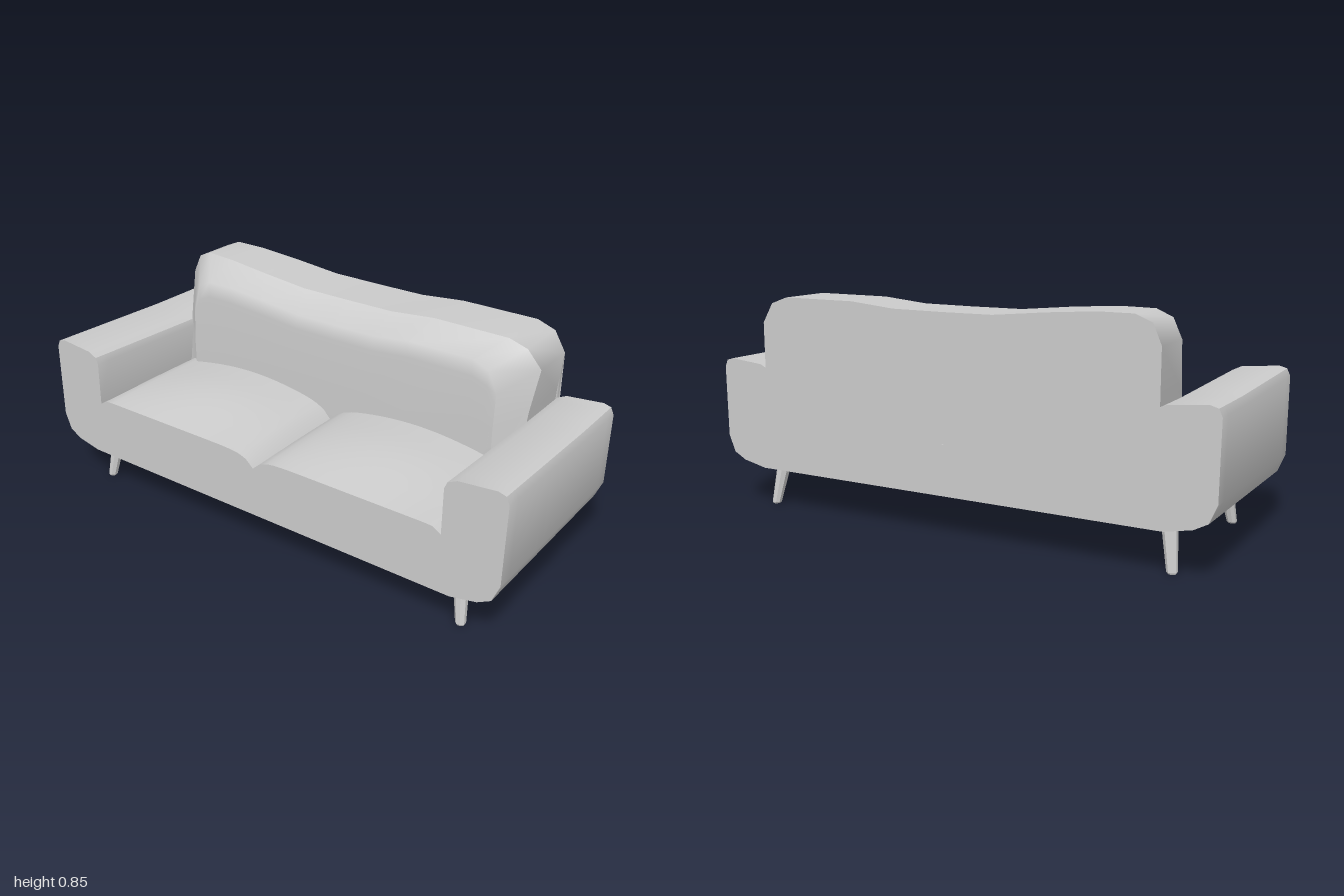
import * as THREE from 'three';
import { toCreasedNormals } from 'three/addons/utils/BufferGeometryUtils.js';

const grey = new THREE.MeshStandardMaterial({ color: 0xcccccc });
const greyFlat = new THREE.MeshStandardMaterial({ color: 0xcccccc, flatShading: true });

function part(name, geometry, material = grey) {
  const mesh = new THREE.Mesh(geometry, material);
  mesh.name = name;
  return mesh;
}

// Skin a list of equally long rows of [x, y, z] points
function loft(rows) {
  const n = rows[0].length, index = [];
  for (let j = 0; j < rows.length - 1; j++) {
    for (let i = 0; i < n - 1; i++) {
      const a = j * n + i, b = a + n;
      index.push(a, b, a + 1, b, b + 1, a + 1);
    }
  }
  const g = new THREE.BufferGeometry();
  g.setAttribute('position', new THREE.Float32BufferAttribute(rows.flat(2), 3));
  g.setIndex(index);
  g.computeVertexNormals();
  return g;
}

// Front edge of the seat: two cushions meeting in a notch at the middle
function seatEdge(x) {
  const a = Math.abs(x);
  return 0.392 - 0.047 * Math.exp(-a / 0.035) - 0.02 * Math.max(0, (a - 0.74) / 0.035);
}

// Arms, base and seat: one profile run from back to front
function createBody() {
  const rightArm = [[0.775, 0.54], [0.785, 0.565], [0.82, 0.582], [0.96, 0.595], [0.988, 0.587],
    [1, 0.56], [0.997, 0.27], [0.97, 0.205], [0.92, 0.178], [0.82, 0.157]];
  const leftArm = rightArm.map(([x, y]) => [-x, y]).reverse();
  const seat = [];
  for (let i = 0; i <= 48; i++) {
    const x = 0.775 * (i / 24 - 1);
    seat.push([x, seatEdge(x)]);
  }
  const outline = [...leftArm, ...seat, ...rightArm].map(([x, y]) => new THREE.Vector2(x, y));
  const g = new THREE.ExtrudeGeometry(new THREE.Shape(outline), { depth: 0.775, steps: 14, bevelEnabled: false });
  g.translate(0, 0, -0.389);

  const p = g.attributes.position;
  for (let i = 0; i < p.count; i++) {
    const x = p.getX(i), z = p.getZ(i);
    let y = p.getY(i);
    const front = (z + 0.389) / 0.775;
    if (Math.abs(x) < 0.77 && y > 0.3 && y < 0.45) {
      // plump cushions
      const s = Math.min(1, (1 - front) / 0.45);
      y += 0.05 * Math.sin(Math.PI * Math.abs(x) / 0.775) * Math.sin(s * Math.PI / 2);
    } else if (y > 0.5) {
      // arms drop a little towards the back
      y -= 0.014 * Math.min(1, (1 - front) / 0.7);
    } else if (y < 0.3) {
      y += 0.007 * (0.4 - front);
    }
    p.setY(i, y);
    if (front > 0.99) p.setZ(i, z + 0.007 * (0.6 - y) / 0.45);
  }
  return toCreasedNormals(g, 0.62);
}

// Backrest: [x, y, z of the ridge] from lower left over the top to lower right
const ridge = [[-0.78, 0.35, -0.13], [-0.79, 0.58, -0.17], [-0.8, 0.75, -0.21], [-0.77, 0.82, -0.215],
  [-0.71, 0.845, -0.21], [-0.58, 0.845, -0.195], [-0.4, 0.832, -0.18], [-0.2, 0.813, -0.178],
  [0, 0.812, -0.178], [0.2, 0.813, -0.178], [0.38, 0.83, -0.178], [0.68, 0.83, -0.175],
  [0.75, 0.805, -0.18], [0.795, 0.73, -0.205], [0.78, 0.58, -0.17], [0.77, 0.35, -0.13]];

function createBackrest() {
  const group = new THREE.Group();
  group.name = 'backrest';
  const rear = ridge.map(([x, y]) => [x, y, -0.39]);
  const rearFoot = ridge.map(([x]) => [x, 0.35, -0.39]);
  // Front rows: padded rim, then the leaning face down to the seat
  const face = (t) => ridge.map(([x, y]) => {
    const top = Math.max(0.35, y - 0.075);
    const h = 0.35 + (top - 0.35) * t;
    return [x * 0.87, h, -0.08 - 0.06 * Math.max(0, h - 0.52)];
  });
  group.add(
    part('backrestRear', loft([rearFoot, rear])),
    part('backrestTopAndSides', loft([rear, ridge])),
    part('backrestCushion', loft([ridge, face(1), face(0.85), face(0.5), face(0)])),
  );
  return group;
}

// Tapered leg splayed outwards, sx and sz choosing the corner
function createLeg(sx, sz) {
  const profile = [[0, 0], [0.015, 0], [0.019, 0.006], [0.03, 0.18]].map(([r, y]) => new THREE.Vector2(r, y));
  const g = new THREE.LatheGeometry(profile, 8, Math.PI / 8);
  const p = g.attributes.position;
  for (let i = 0; i < p.count; i++) {
    const t = p.getY(i) / 0.18;
    p.setX(i, p.getX(i) + sx * (0.83 - 0.026 * t));
    p.setZ(i, p.getZ(i) * 0.95 + sz * (0.317 - 0.032 * t));
  }
  g.computeVertexNormals();
  return part(`${sz > 0 ? 'front' : 'back'}${sx > 0 ? 'Left' : 'Right'}Leg`, g, greyFlat);
}

export function createModel() {
  const sofa = new THREE.Group();
  sofa.name = 'sofa';
  sofa.add(part('armsAndSeat', createBody()), createBackrest());
  for (const sx of [-1, 1]) for (const sz of [-1, 1]) sofa.add(createLeg(sx, sz));
  return sofa;
}
